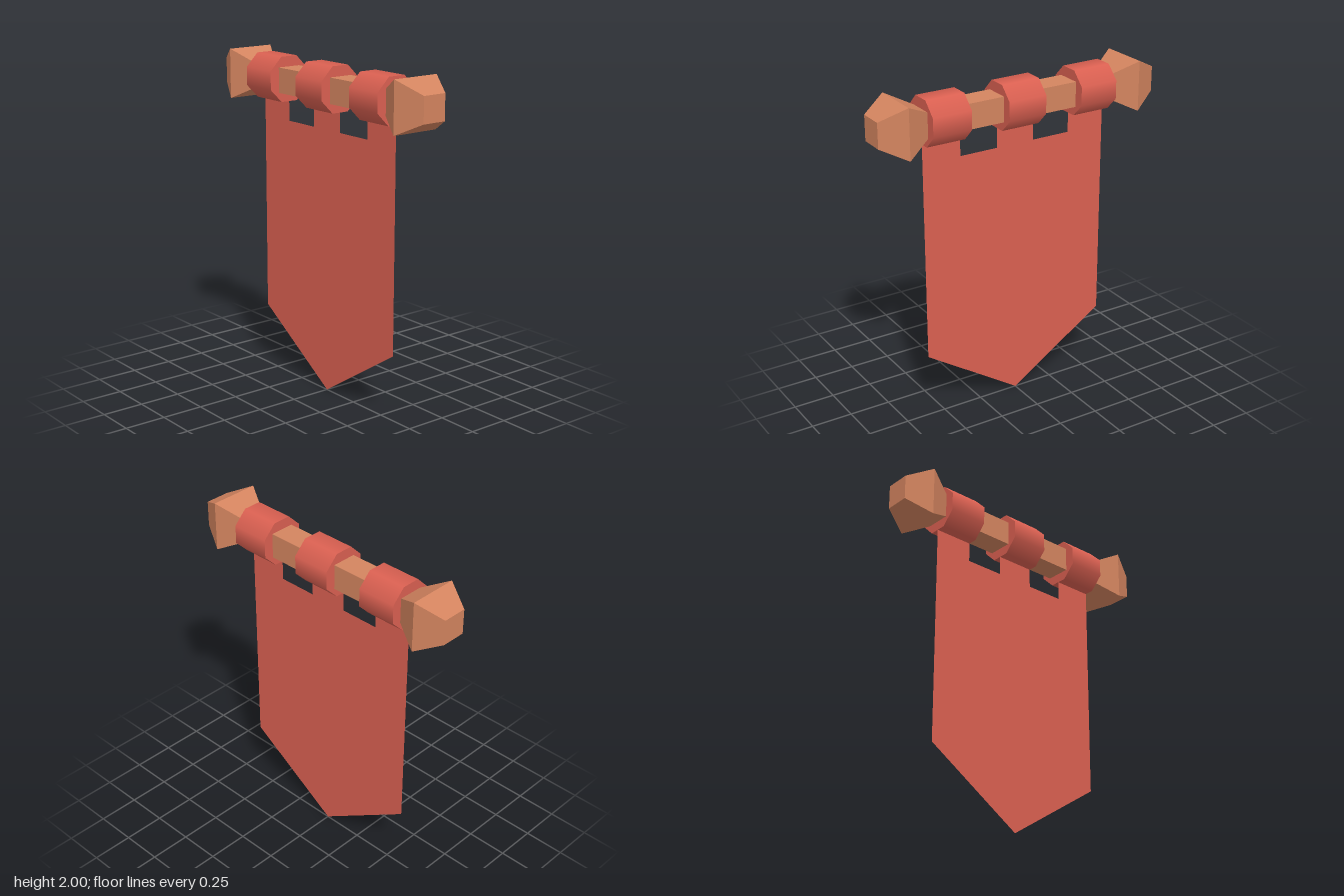
import * as THREE from 'three';

const POLE_Y = 1.85;

export function createModel() {
  const wood = new THREE.MeshStandardMaterial({ color: 0xd3845f });
  wood.name = 'wood';
  const red = new THREE.MeshStandardMaterial({ color: 0xda6051, side: THREE.DoubleSide });
  red.name = 'red cloth';

  const group = new THREE.Group();
  group.name = 'hangingBanner';
  const add = (name, geometry, material, parent = group) => {
    const mesh = new THREE.Mesh(geometry, material);
    mesh.name = name;
    parent.add(mesh);
    return mesh;
  };

  // Square pole running along z
  add('pole', new THREE.BoxGeometry(0.15, 0.15, 1.2), wood).position.y = POLE_Y;

  // Square tapered block along z, given its half widths at the far (+z) and near ends
  const taper = (far, near, z) => {
    const g = new THREE.CylinderGeometry(far * Math.SQRT2, near * Math.SQRT2, 0.15, 4, 1, false, Math.PI / 4)
      .rotateX(Math.PI / 2).translate(0, 0, z).toNonIndexed();
    g.computeVertexNormals();
    return g;
  };

  // Faceted finials, one on each end of the pole
  for (const side of [1, -1]) {
    const finial = new THREE.Group();
    finial.name = side > 0 ? 'frontFinial' : 'backFinial';
    add('finialInner', taper(0.15, 0.075, 0.675), wood, finial);
    add('finialOuter', taper(0.075, 0.15, 0.825), wood, finial);
    finial.position.y = POLE_Y;
    if (side < 0) finial.rotation.y = Math.PI;
    group.add(finial);
  }

  // Eight-sided cloth loops, smooth around the pole
  for (const z of [-0.48, 0, 0.48]) {
    const loop = new THREE.CylinderGeometry(0.145, 0.145, 0.24, 8, 1, false, Math.PI / 8).rotateX(Math.PI / 2);
    add('clothLoop', loop, red).position.set(0, POLE_Y + 0.002, z);
  }

  // Thin cloth with three tabs on top and a pointed hem
  const outline = [
    [0, 0], [0.6, 0.39], [0.6, 1.75], [0.36, 1.75], [0.36, 1.6], [0.12, 1.6], [0.12, 1.75],
    [-0.12, 1.75], [-0.12, 1.6], [-0.36, 1.6], [-0.36, 1.75], [-0.6, 1.75], [-0.6, 0.39],
  ].map(([z, y]) => new THREE.Vector2(z, y));
  add('cloth', new THREE.ShapeGeometry(new THREE.Shape(outline)).rotateY(Math.PI / 2), red);

  return group;
}
